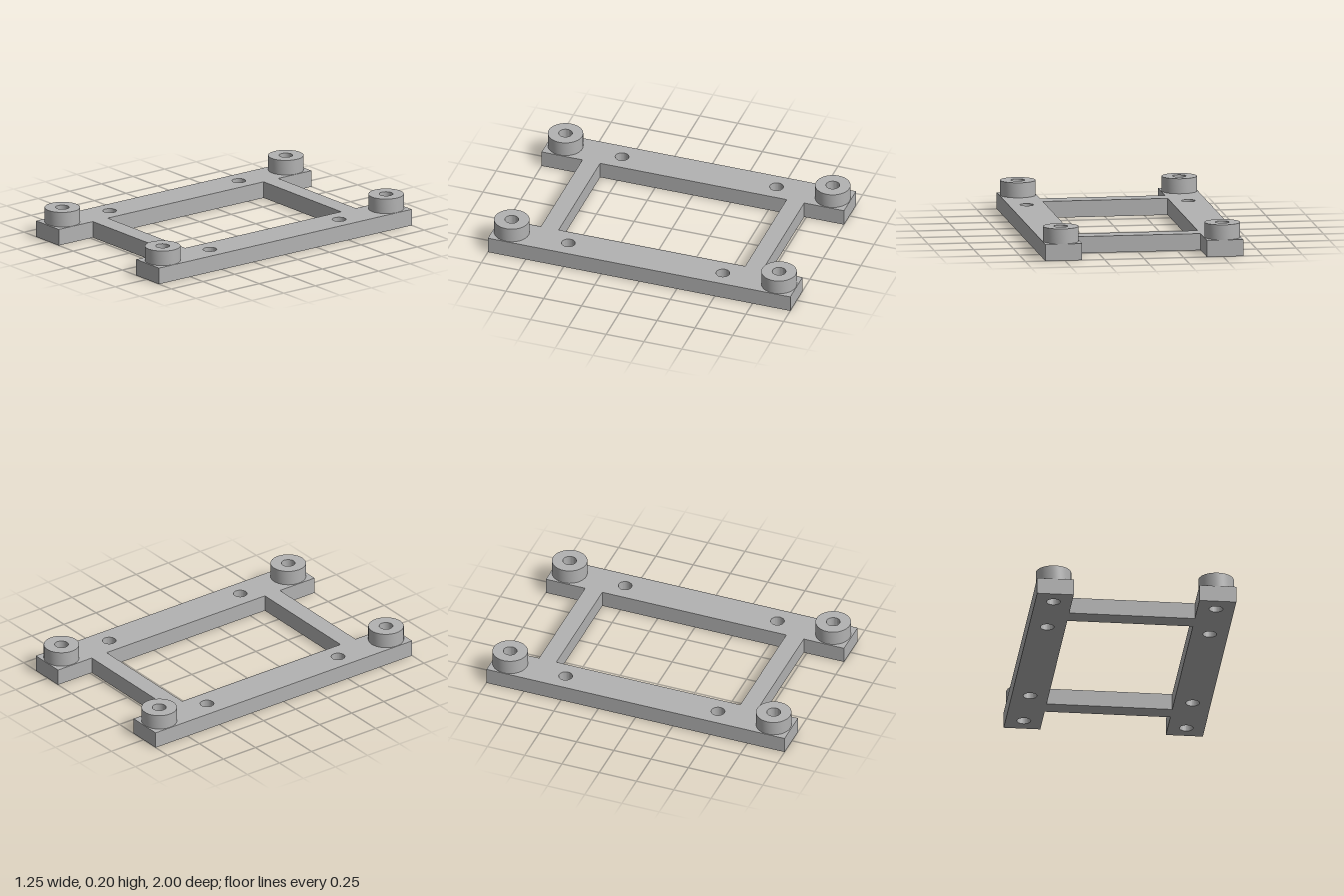
import * as THREE from 'three';
import { toCreasedNormals } from 'three/addons/utils/BufferGeometryUtils.js';

const FRAME_H = 0.105, TOP = 0.2;
const HOLE_R = 0.043, BOSS_R = 0.111;
const OUT_L = -0.627, IN_L = -0.397, IN_R = 0.392, OUT_R = 0.624;
const HOLE_X = [-0.512, 0.509];
const BOSS_Z = [-0.886, 0.882];
const RAIL_HOLE_Z = [-0.514, 0.508];

// Closed outline from [x, z] corners, in plan
const plan = (Type, corners) => new Type(corners.map(([x, z]) => new THREE.Vector2(x, -z)));

export function createModel() {
  const group = new THREE.Group();
  const grey = new THREE.MeshStandardMaterial({ color: 0xb2b2b2 });
  grey.name = 'grey';

  // Two rails joined by two crossbars, in one flat piece
  const back = [-0.737, -0.621], front = [0.613, 0.73];
  const outline = plan(THREE.Shape, [
    [OUT_L, 1], [IN_L, 1], [IN_L, front[1]], [IN_R, front[1]], [IN_R, 1], [OUT_R, 1],
    [OUT_R, -1], [IN_R, -1], [IN_R, back[0]], [IN_L, back[0]], [IN_L, -1], [OUT_L, -1],
  ]);
  outline.holes.push(plan(THREE.Path, [
    [IN_L, back[1]], [IN_R, back[1]], [IN_R, front[0]], [IN_L, front[0]],
  ]));

  // Screw holes through the rails
  for (const x of HOLE_X) {
    for (const z of [...BOSS_Z, ...RAIL_HOLE_Z]) {
      const hole = new THREE.Path();
      hole.absarc(x, -z, HOLE_R, 0, Math.PI * 2, true);
      outline.holes.push(hole);
    }
  }
  const frameGeo = new THREE.ExtrudeGeometry(outline, { depth: FRAME_H, bevelEnabled: false, curveSegments: 40 });
  frameGeo.rotateX(-Math.PI / 2);
  const frame = new THREE.Mesh(toCreasedNormals(frameGeo, 0.6), grey);
  frame.name = 'frame';
  group.add(frame);

  // Hollow standoffs at the four corners
  const profile = [[BOSS_R, FRAME_H], [BOSS_R, TOP], [HOLE_R, TOP], [HOLE_R, FRAME_H]]
    .map(([r, y]) => new THREE.Vector2(r, y));
  const bossGeo = toCreasedNormals(new THREE.LatheGeometry(profile, 40), 0.6);
  for (const x of HOLE_X) {
    for (const z of BOSS_Z) {
      const boss = new THREE.Mesh(bossGeo, grey);
      boss.name = `${z > 0 ? 'front' : 'back'}${x > 0 ? 'Left' : 'Right'}Standoff`;
      boss.position.set(x, 0, z);
      group.add(boss);
    }
  }
  return group;
}
